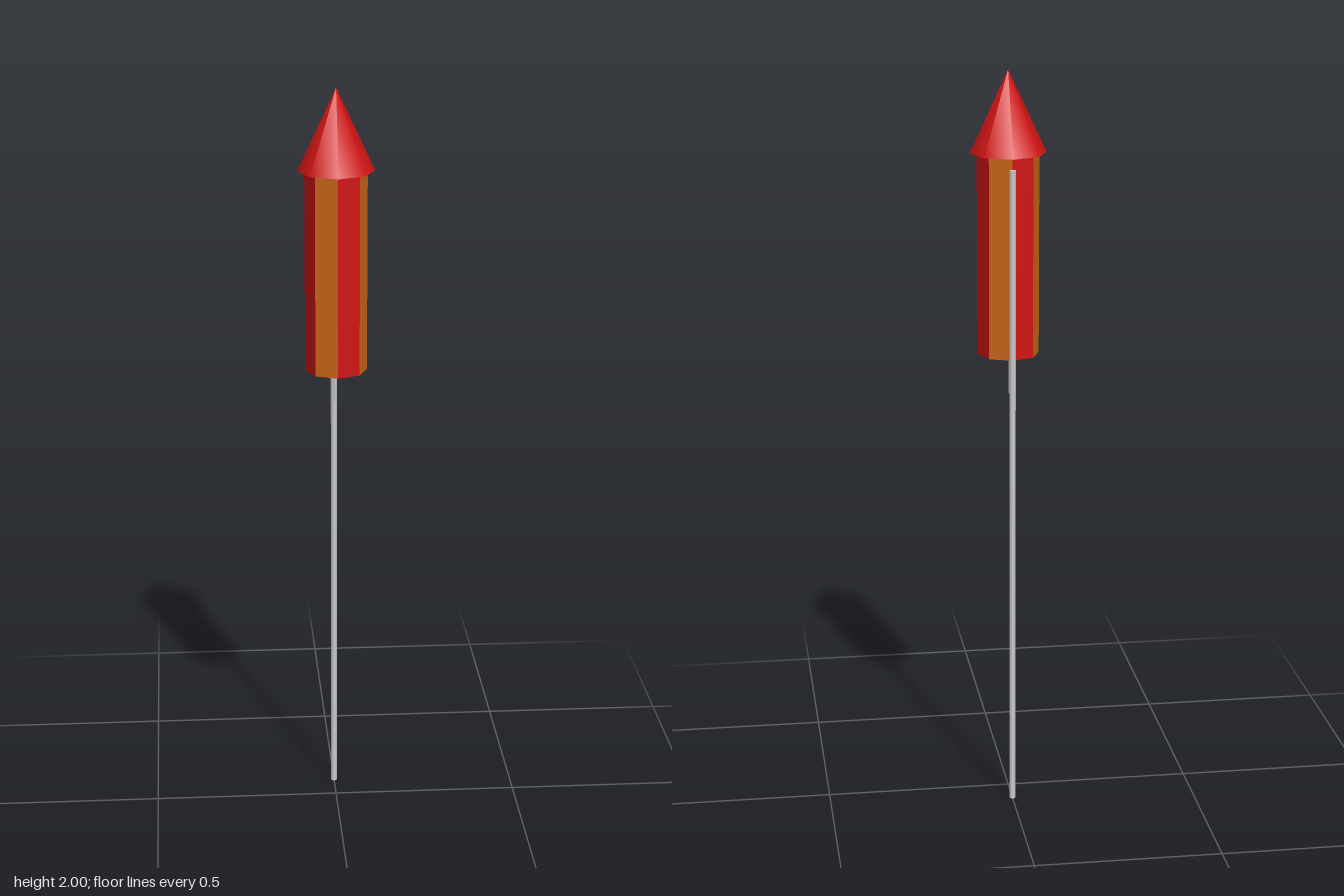
import * as THREE from 'three';

const SIDES = 8;
const BODY_RADIUS = 0.082, BODY_BOTTOM = 1.25, BODY_TOP = 1.785;

export function createModel() {
  const model = new THREE.Group();
  const red = new THREE.MeshStandardMaterial({ color: 0xd01414 });
  const orange = new THREE.MeshStandardMaterial({ color: 0xcc6618 });
  const grey = new THREE.MeshStandardMaterial({ color: 0xcccccc });

  const add = (parent, name, geometry, material, x, y, z) => {
    const mesh = new THREE.Mesh(geometry, material);
    mesh.name = name;
    mesh.position.set(x, y, z);
    parent.add(mesh);
    return mesh;
  };

  // Smooth eight-sided nose cone, corners on the axes
  const coneHeight = 2 - BODY_TOP;
  add(model, 'noseCone', new THREE.ConeGeometry(0.101, coneHeight, SIDES),
    red, 0, BODY_TOP + coneHeight / 2, 0);

  // Body tube: one flat panel per side, alternating red and orange
  const body = new THREE.Group();
  body.name = 'body';
  model.add(body);
  const bodyHeight = BODY_TOP - BODY_BOTTOM;
  const step = (Math.PI * 2) / SIDES;
  for (let i = 0; i < SIDES; i++) {
    const panel = new THREE.CylinderGeometry(
      BODY_RADIUS, BODY_RADIUS, bodyHeight, 1, 1, true, i * step, step
    ).toNonIndexed();
    panel.computeVertexNormals();
    add(body, 'stripe', panel, i % 2 ? orange : red, 0, BODY_BOTTOM + bodyHeight / 2, 0);
  }

  // Disc closing the bottom of the tube
  const base = add(body, 'bodyBase', new THREE.CircleGeometry(BODY_RADIUS, SIDES),
    red, 0, BODY_BOTTOM, 0);
  base.rotation.x = Math.PI / 2;

  // Guide stick along the back
  add(model, 'stick', new THREE.CylinderGeometry(0.0085, 0.0085, 1.755, 8),
    grey, 0, 1.755 / 2, -0.086);

  // Fuse hanging below the tube
  add(model, 'fuse', new THREE.CylinderGeometry(0.004, 0.004, 0.11, 6),
    grey, 0, 1.205, -0.037);

  return model;
}
